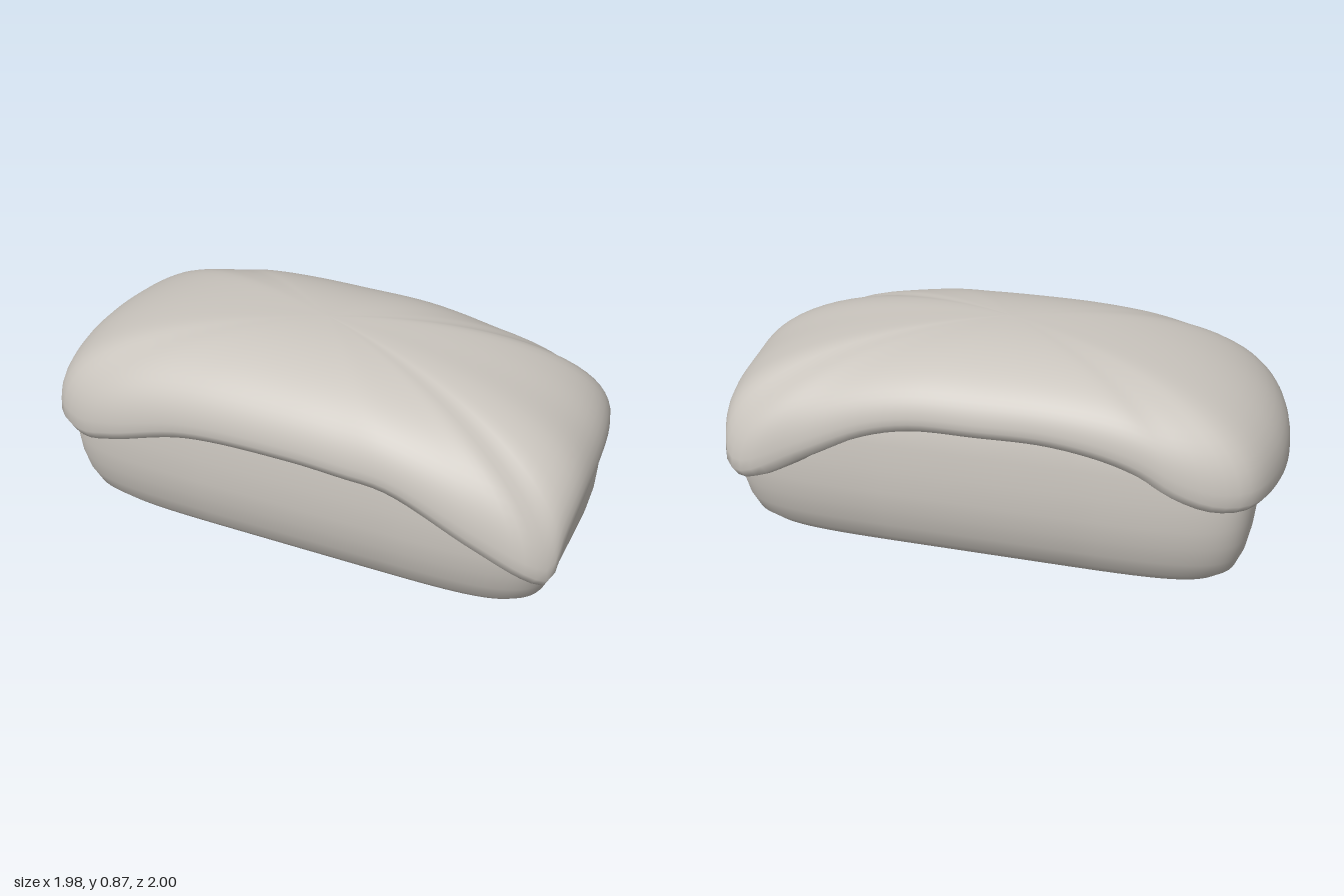
import * as THREE from 'three';

const SEG = 128;

// Skin a list of closed rings (bottom to top, each counter-clockwise from above)
function loft(rings, material, name) {
  const pos = [], idx = [];
  rings.forEach(r => r.forEach(p => pos.push(p[0], p[1], p[2])));
  for (let i = 0; i < rings.length - 1; i++) {
    for (let j = 0; j < SEG; j++) {
      const k = (j + 1) % SEG;
      const a = i * SEG + j, b = i * SEG + k, c = b + SEG, d = a + SEG;
      idx.push(a, b, c, a, c, d);
    }
  }
  const g = new THREE.BufferGeometry();
  g.setAttribute('position', new THREE.Float32BufferAttribute(pos, 3));
  g.setIndex(idx);
  g.computeVertexNormals();
  const mesh = new THREE.Mesh(g, material);
  mesh.name = name;
  return mesh;
}

// u runs along the loaf, v across it; the loaf lies diagonally on the ground
const place = (u, y, v) => [(u + v) * Math.SQRT1_2, y, (u - v) * Math.SQRT1_2];

export function createModel() {
  const group = new THREE.Group();
  group.name = 'loaf';
  const stone = new THREE.MeshStandardMaterial({ color: 0xcac5be });
  stone.name = 'warm grey';

  // Body: rounded-box rings, [height, scale along, scale across]
  const profile = [[0, 0.001, 0.001], [0, 0.84, 0.66], [0.025, 0.91, 0.77], [0.07, 0.955, 0.86],
    [0.14, 0.98, 0.93], [0.22, 0.995, 0.975], [0.3, 1, 1], [0.4, 1, 1], [0.5, 0.975, 0.985],
    [0.6, 0.92, 0.955], [0.66, 0.8, 0.88], [0.69, 0.001, 0.001]];
  const soft = t => Math.sign(t) * Math.pow(Math.abs(t), 1 / 3);
  const bodyRings = profile.map(([y, su, sv]) => Array.from({ length: SEG }, (_, j) => {
    const a = j / SEG * Math.PI * 2;
    return place(-0.025 + 0.995 * su * soft(Math.cos(a)), y, 0.445 * sv * soft(Math.sin(a)));
  }));
  group.add(loft(bodyRings, stone, 'body'));

  // Draped cover: its hem as [u, v, height], hanging lowest at the front corners
  const hem = [
    [1.01, 0.05, 0.45], [0.99, 0.25, 0.45], [0.955, 0.4, 0.43], [0.92, 0.48, 0.33], [0.85, 0.52, 0.33],
    [0.63, 0.51, 0.44], [0.39, 0.495, 0.555], [0.21, 0.49, 0.6], [-0.04, 0.485, 0.605], [-0.29, 0.48, 0.605],
    [-0.5, 0.48, 0.575], [-0.64, 0.48, 0.53], [-0.76, 0.475, 0.46], [-0.9, 0.45, 0.41], [-1.02, 0.385, 0.4],
    [-1.1, 0.15, 0.39], [-1.1, -0.15, 0.39], [-1.02, -0.385, 0.39], [-0.9, -0.46, 0.38],
    [-0.74, -0.5, 0.43], [-0.42, -0.5, 0.525], [0, -0.5, 0.545], [0.22, -0.5, 0.535], [0.4, -0.5, 0.52],
    [0.73, -0.5, 0.38], [0.93, -0.475, 0.285], [0.99, -0.425, 0.25], [1.01, -0.33, 0.37], [1.02, -0.18, 0.445],
  ];
  const curve = new THREE.CatmullRomCurve3(
    hem.map(([u, v, y]) => new THREE.Vector3(u, y, v)), true, 'centripetal');
  const edge = curve.getSpacedPoints(SEG).slice(0, SEG);
  const centre = -0.05, crown = 0.87, lift = 0.03;
  const ring = (s, height) => edge.map(p => place(centre + (p.x - centre) * s, height(p, s), p.z * s));

  // Dome height: fuller towards the back, sloping more towards the front
  const dome = (p, s) => {
    const n = 2.2 - 0.12 * p.x;
    return p.y + lift + (crown - p.y - lift) * Math.pow(1 - Math.pow(s, n), 1 / n);
  };

  // Rolled underside of the hem, then the domed top
  const coverRings = [[0.8, 0.04], [0.93, 0.003], [0.98, 0]].map(([s, dy]) => ring(s, p => p.y + dy));
  const STEPS = 20;
  for (let i = 0; i <= STEPS; i++) {
    const s = Math.max(0.001, Math.cos(i / STEPS * Math.PI / 2) ** 0.9);
    coverRings.push(ring(s, dome));
  }
  group.add(loft(coverRings, stone, 'drapedCover'));

  return group;
}
